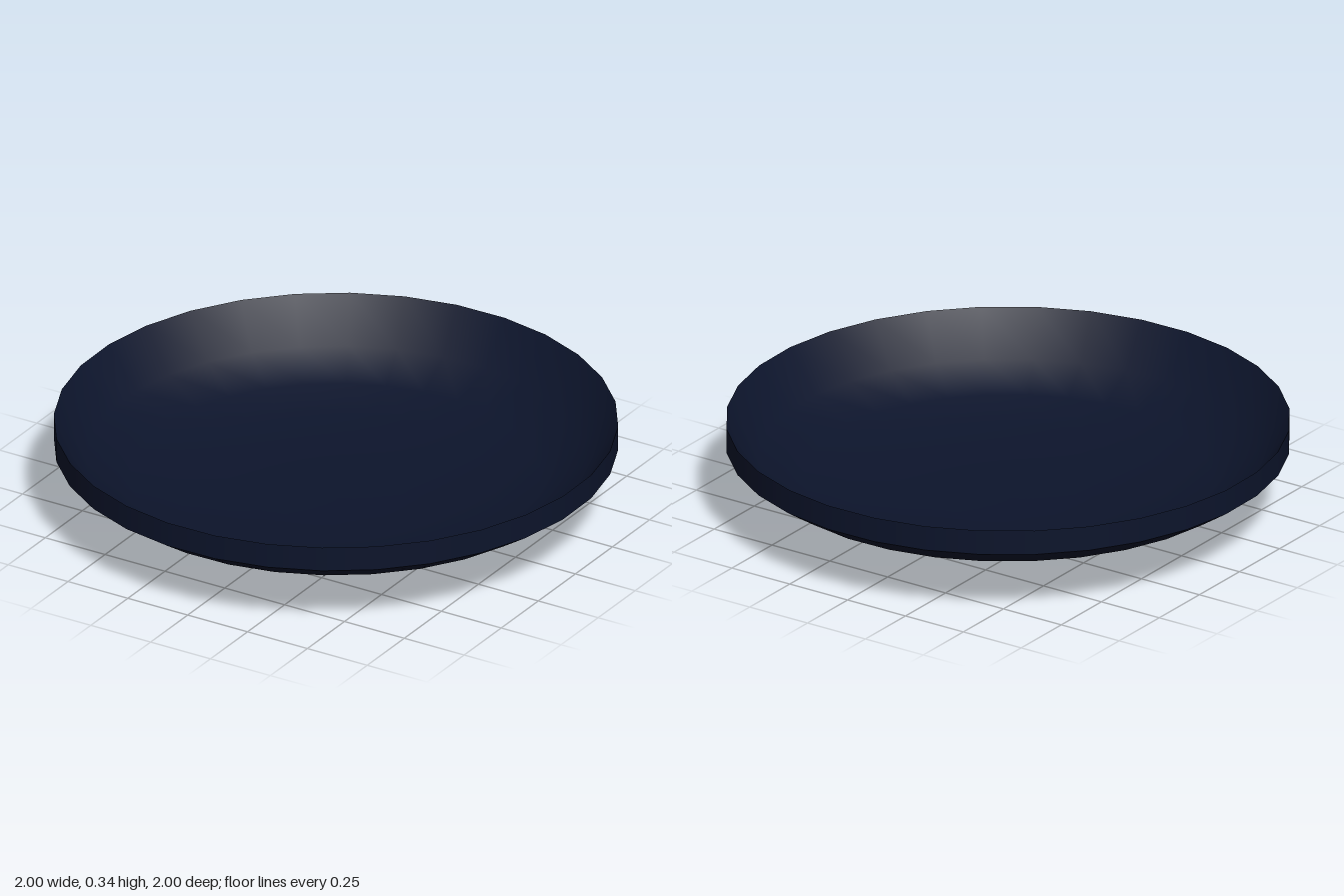
import * as THREE from 'three';

const SIDES = 32;
const TURN = 0.112; // rotation of the facets about the axis
const R = 1.0036; // rim corner radius
const TOP = 0.345; // rim height
const THICK = 0.012; // thickness of the dish floor

// Shallow bowl profile, from the centre outwards: [radius, height]
const BOWL = [[0, 0.034], [0.24, 0.036], [0.4, 0.046], [0.57, 0.072], [0.73, 0.11], [0.89, 0.178]];

export function createModel() {
  const group = new THREE.Group();
  const material = new THREE.MeshStandardMaterial({ color: 0x0c142b });

  const turned = (name, profile) => {
    const points = profile.map(([r, y]) => new THREE.Vector2(r, y));
    const mesh = new THREE.Mesh(new THREE.LatheGeometry(points, SIDES, TURN), material);
    mesh.name = name;
    group.add(mesh);
  };

  // Rounded boss under the centre, ending within the floor
  turned('bottomBoss', [[0, 0], [0.12, 0.006], [0.23, 0.02], [0.3, 0.043]]);

  // Curved underside and upright band around the edge
  turned('underside', [...BOWL, [R, 0.253]]);
  turned('rimBand', [[R, 0.253], [R, TOP]]);

  // Inner face: follows the underside, then climbs to the top of the rim
  const floor = BOWL.map(([r, y]) => [r, y + THICK]);
  turned('hollowInside', [[R, TOP], ...floor.reverse()]);

  return group;
}
